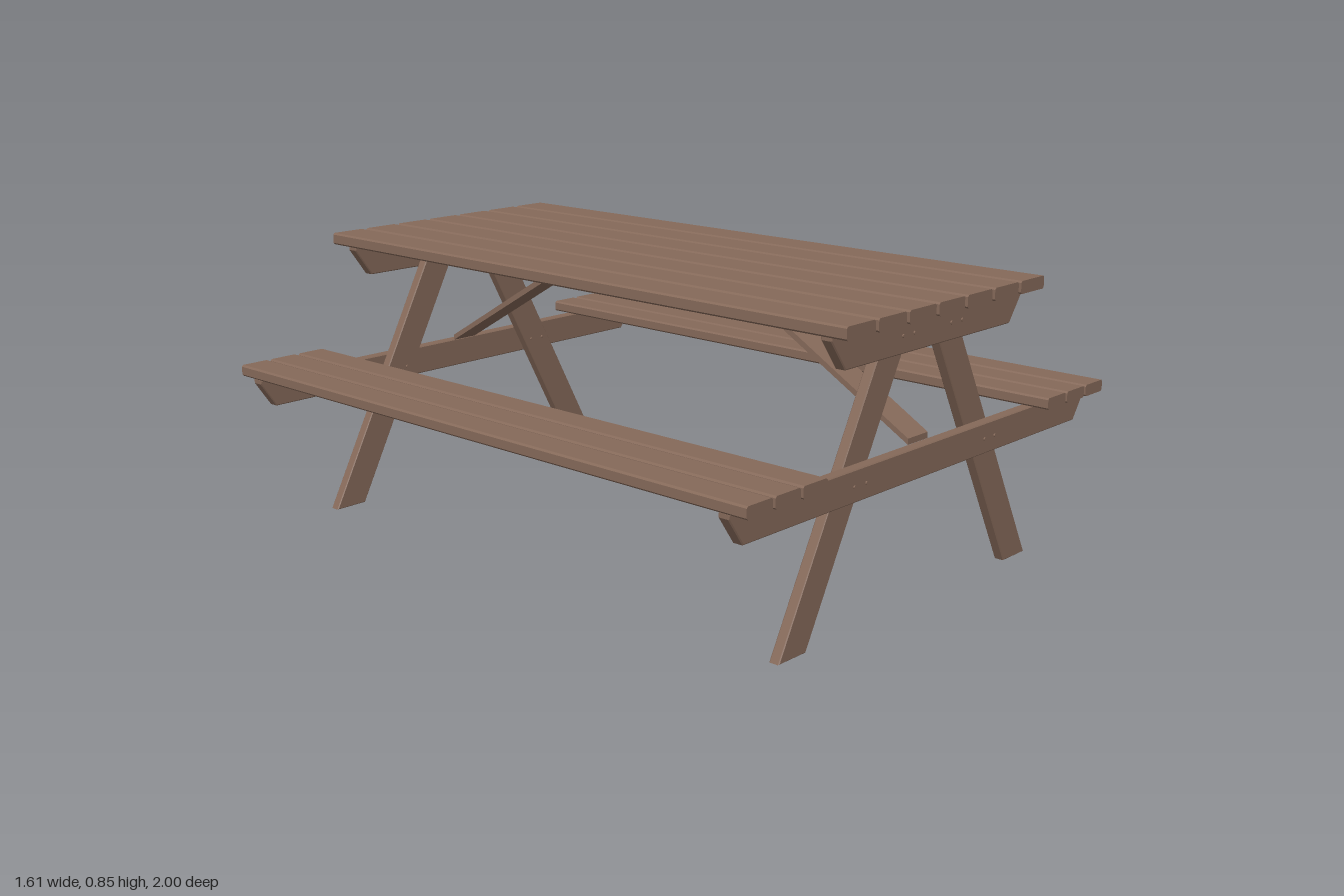
import * as THREE from 'three';

const wood = new THREE.MeshStandardMaterial({ color: 0x856959 });
wood.name = 'brown wood';

const polygon = (points) => new THREE.Shape(points.map(([x, y]) => new THREE.Vector2(x, y)));

// Board cut from an outline, centred on its own thickness, with slightly eased edges
function board(name, points, thickness, bevel = 0.003) {
  const geometry = new THREE.ExtrudeGeometry(polygon(points), {
    depth: thickness - 2 * bevel, bevelEnabled: bevel > 0, bevelSegments: 1,
    bevelThickness: bevel, bevelSize: bevel, bevelOffset: -bevel,
  });
  geometry.translate(0, 0, bevel - thickness / 2);
  const mesh = new THREE.Mesh(geometry, wood);
  mesh.name = name;
  return mesh;
}

// Full-length plank with chamfered long edges
function plank(name, x, y0, y1, width) {
  const w = width / 2, c = 0.005;
  const outline = [
    [-w + c, y0], [w - c, y0], [w, y0 + c], [w, y1 - c],
    [w - c, y1], [-w + c, y1], [-w, y1 - c], [-w, y0 + c],
  ];
  const mesh = board(name, outline, 2, 0);
  mesh.position.x = x;
  return mesh;
}

// Symmetric cross beam with angled ends
function beam(name, topHalf, bottomHalf, y0, y1) {
  const nib = 0.012;
  const mesh = board(name, [
    [-bottomHalf, y0], [bottomHalf, y0], [topHalf, y1 - nib], [topHalf, y1],
    [-topHalf, y1], [-topHalf, y1 - nib],
  ], 0.034);
  mesh.position.z = 0.927;
  return mesh;
}

// One end frame: beams, splayed legs, bolts and diagonal brace
function endFrame() {
  const frame = new THREE.Group();
  frame.add(beam('topBeam', 0.43, 0.37, 0.722, 0.816));
  frame.add(beam('benchBeam', 0.803, 0.75, 0.37, 0.458));

  const lean = 0.527, top = 0.816;
  const boltGeometry = new THREE.CylinderGeometry(0.005, 0.005, 0.076, 8).rotateX(Math.PI / 2);
  for (const side of [-1, 1]) {
    const outline = [[0.46, 0], [0.568, 0], [0.568 - lean * top, top], [0.46 - lean * top, top]];
    const leg = board('leg', outline.map(([x, y]) => [x * side, y]), 0.032);
    leg.position.z = 0.894;
    frame.add(leg);

    for (const y of [0.77, 0.413]) {
      for (const offset of [-0.025, 0.025]) {
        const bolt = new THREE.Mesh(boltGeometry, wood);
        bolt.name = 'bolt';
        bolt.position.set(side * (0.514 - lean * y + offset), y, 0.91);
        frame.add(bolt);
      }
    }
  }

  // Brace outline lies in the z-y plane, so it is turned to face sideways
  const brace = board('brace', [[0.91, 0.457], [0.91, 0.474], [0.322, 0.816], [0.287, 0.816]], 0.09, 0);
  brace.rotation.y = -Math.PI / 2;
  frame.add(brace);
  return frame;
}

export function createModel() {
  const model = new THREE.Group();
  model.name = 'picnicTable';

  // Table top
  const tableTop = new THREE.Group();
  tableTop.name = 'tableTop';
  for (let i = -3; i <= 3; i++) tableTop.add(plank('topPlank', i * 0.129, 0.816, 0.852, 0.116));
  model.add(tableTop);

  // Benches
  for (const side of [-1, 1]) {
    const bench = new THREE.Group();
    bench.name = side > 0 ? 'leftBench' : 'rightBench';
    for (let i = 0; i < 3; i++) {
      bench.add(plank('benchPlank', side * (0.552 + i * 0.1035), 0.458, 0.492, 0.094));
    }
    model.add(bench);
  }

  // End frames
  const front = endFrame();
  front.name = 'frontFrame';
  const back = endFrame();
  back.name = 'backFrame';
  back.rotation.y = Math.PI;
  model.add(front, back);
  return model;
}
